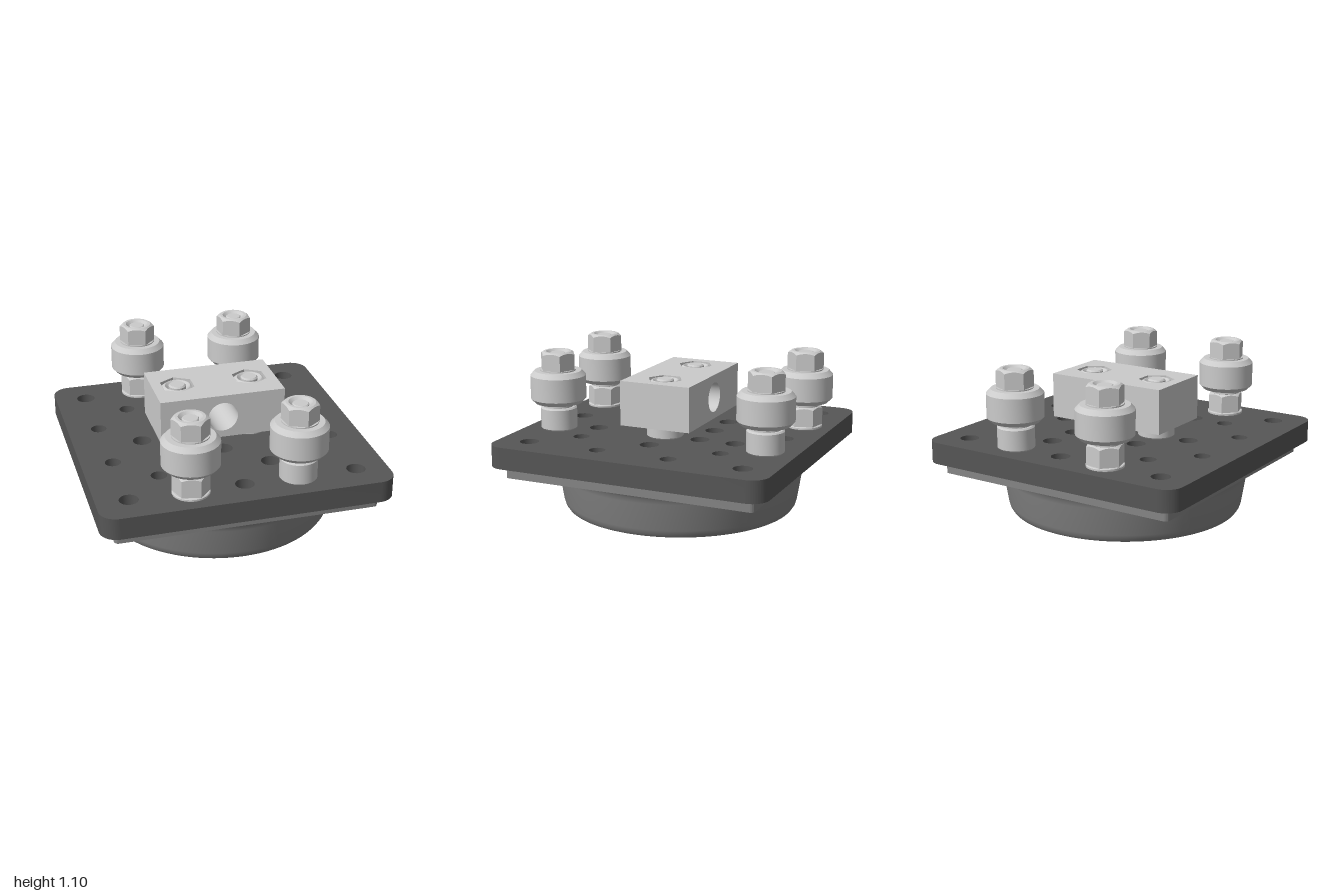
import * as THREE from 'three';
import { toCreasedNormals } from 'three/addons/utils/BufferGeometryUtils.js';

const steel = new THREE.MeshStandardMaterial({ color: 0xcccccc });
const iron = new THREE.MeshStandardMaterial({ color: 0x858585 });
const darkPlate = new THREE.MeshStandardMaterial({ color: 0x565656 });

function part(name, geometry, material, x = 0, y = 0, z = 0) {
  const mesh = new THREE.Mesh(toCreasedNormals(geometry, 0.45), material);
  mesh.name = name;
  mesh.position.set(x, y, z);
  return mesh;
}

// Turned part; profile runs bottom to top along the outside
function turned(profile, segments = 48) {
  return new THREE.LatheGeometry(profile.map(([r, y]) => new THREE.Vector2(r, y)), segments);
}

// Solid disc with chamfered rims
function disc(r, h, c = 0.01) {
  return turned([[0, 0], [r - c, 0], [r, c], [r, h - c], [r - c, h], [0, h]]);
}

function roundedSquare(half, r) {
  const s = new THREE.Shape();
  const k = half - r;
  s.absarc(k, k, r, 0, Math.PI / 2);
  s.absarc(-k, k, r, Math.PI / 2, Math.PI);
  s.absarc(-k, -k, r, Math.PI, Math.PI * 1.5);
  s.absarc(k, -k, r, Math.PI * 1.5, Math.PI * 2);
  s.closePath();
  return s;
}

function rectangle(x0, y0, x1, y1) {
  return new THREE.Shape([[x0, y0], [x1, y0], [x1, y1], [x0, y1]].map(p => new THREE.Vector2(...p)));
}

function hole(shape, x, y, r) {
  shape.holes.push(new THREE.Path().absarc(x, y, r, 0, Math.PI * 2, true));
}

function extrude(shape, depth) {
  return new THREE.ExtrudeGeometry(shape, { depth, bevelEnabled: false, curveSegments: 16 });
}

// Horizontal slab: shape y becomes -z, thickness goes up
function slab(shape, depth) {
  return extrude(shape, depth).rotateX(-Math.PI / 2);
}

// Hex nut with conical top chamfer: a turned blank cut back to six flats
function hexNut(apothem, h, bore) {
  const rimR = apothem * 0.9;
  const geo = turned([[bore, 0], [1, 0], [1, h - 0.01], [rimR, h], [bore + 0.025, h], [bore, h - 0.025]]);
  const p = geo.attributes.position;
  for (let i = 0; i < p.count; i++) {
    const x = p.getX(i), z = p.getZ(i);
    if (Math.hypot(x, z) < 0.9) continue;
    const phi = Math.atan2(x, z) + Math.PI * 2 + 1e-6;
    const r = apothem / Math.cos((phi % (Math.PI / 3)) - Math.PI / 6);
    p.setX(i, x * r);
    p.setZ(i, z * r);
    if (p.getY(i) > 0.001) p.setY(i, h - (r - rimR) * 0.7);
  }
  return geo;
}

// Drilled mounting plate
function mountingPlate() {
  const s = roundedSquare(1, 0.12);
  for (const sx of [-1, 1]) {
    for (const sy of [-1, 1]) {
      hole(s, sx * 0.78, sy * 0.78, 0.065);
      hole(s, sx * 0.52, sy * 0.52, 0.055);
      hole(s, sx * 0.26, sy * 0.52, 0.065);
      hole(s, sx * 0.78, sy * 0.26, 0.055);
    }
    hole(s, sx * 0.52, 0, 0.065);
    hole(s, 0, sx * 0.78, 0.065);
    hole(s, 0, sx * 0.26, 0.065);
    hole(s, sx * 0.26, 0.26, 0.065);
  }
  return part('mountingPlate', slab(s, 0.152), darkPlate, 0, 0.397, 0);
}

// Square flange and round bearing housing under the plate
function bearingUnit() {
  const g = new THREE.Group();
  g.name = 'bearingUnit';
  const s = roundedSquare(0.905, 0.03);
  hole(s, 0, 0, 0.49);
  for (const sx of [-1, 1]) for (const sy of [-1, 1]) hole(s, sx * 0.78, sy * 0.78, 0.06);
  g.add(part('flange', slab(s, 0.08), iron, 0, 0.308, 0));

  g.add(part('housing', turned([
    [0.6, 0.12], [0.675, 0.12], [0.675, 0.012], [0.687, 0], [0.79, 0], [0.815, 0.008], [0.83, 0.03],
    [0.838, 0.06], [0.868, 0.25], [0.875, 0.285], [0.89, 0.308]], 96), iron));
  g.add(part('bearingRing', turned([
    [0.49, 0.31], [0.49, 0.075], [0.5, 0.065], [0.57, 0.065], [0.58, 0.075], [0.58, 0.12], [0.62, 0.12]], 96), iron));
  return g;
}

// Clamping block with cross bore, hex pockets, nuts and spacers
function clampBlock() {
  const g = new THREE.Group();
  g.name = 'clampBlock';
  const body = rectangle(-0.44, 0.637, 0.44, 0.9);
  hole(body, 0, 0.79, 0.105);
  g.add(part('blockBody', extrude(body, 0.514), steel, 0, 0, -0.257));

  const top = rectangle(-0.44, -0.257, 0.44, 0.257);
  for (const x of [-0.26, 0.26]) {
    const pocket = [];
    for (let i = 0; i < 6; i++) {
      const a = -i * Math.PI / 3 + Math.PI / 6;
      pocket.push(new THREE.Vector2(x + 0.125 * Math.cos(a), 0.125 * Math.sin(a)));
    }
    top.holes.push(new THREE.Path(pocket));
    g.add(part('spacer', disc(0.128, 0.09), steel, x, 0.549, 0));
    g.add(part('pocketNut', hexNut(0.1, 0.046, 0.06), steel, x, 0.9, 0));
    g.add(part('blockBolt', disc(0.06, 0.06), steel, x, 0.895, 0));
  }
  g.add(part('blockTop', slab(top, 0.05), steel, 0, 0.9, 0));
  return g;
}

// Roller on a bolt, over a round or a hexagonal spacer
function roller(x, z, hexBase, turn) {
  const g = new THREE.Group();
  g.name = 'roller';
  g.position.set(x, 0.549, z);
  g.rotation.y = turn;
  if (hexBase) {
    g.add(part('spacerFoot', disc(0.128, 0.022, 0.005), steel));
    g.add(part('hexSpacer', hexNut(0.11, 0.14, 0.055), steel, 0, 0.02, 0));
  } else {
    g.add(part('roundSpacer', disc(0.128, 0.16), steel));
  }
  g.add(part('lowerWasher', disc(0.102, 0.04, 0.004), steel, 0, 0.155, 0));
  g.add(part('wheel', turned([
    [0.05, 0.188], [0.165, 0.188], [0.195, 0.22], [0.195, 0.385], [0.165, 0.418], [0.125, 0.418],
    [0.125, 0.426], [0.05, 0.426]], 64), steel));
  g.add(part('lockNut', hexNut(0.11, 0.13, 0.055), steel, 0, 0.424, 0));
  g.add(part('rollerBolt', disc(0.055, 0.545, 0.006), steel));
  return g;
}

export function createModel() {
  const model = new THREE.Group();
  model.name = 'rollerCarriage';
  model.add(mountingPlate(), bearingUnit(), clampBlock());
  for (const s of [-1, 1]) {
    model.add(roller(-0.37, s * 0.797, true, 0.3));
    model.add(roller(0.37, s * 0.779, false, 0.1));
  }
  return model;
}
